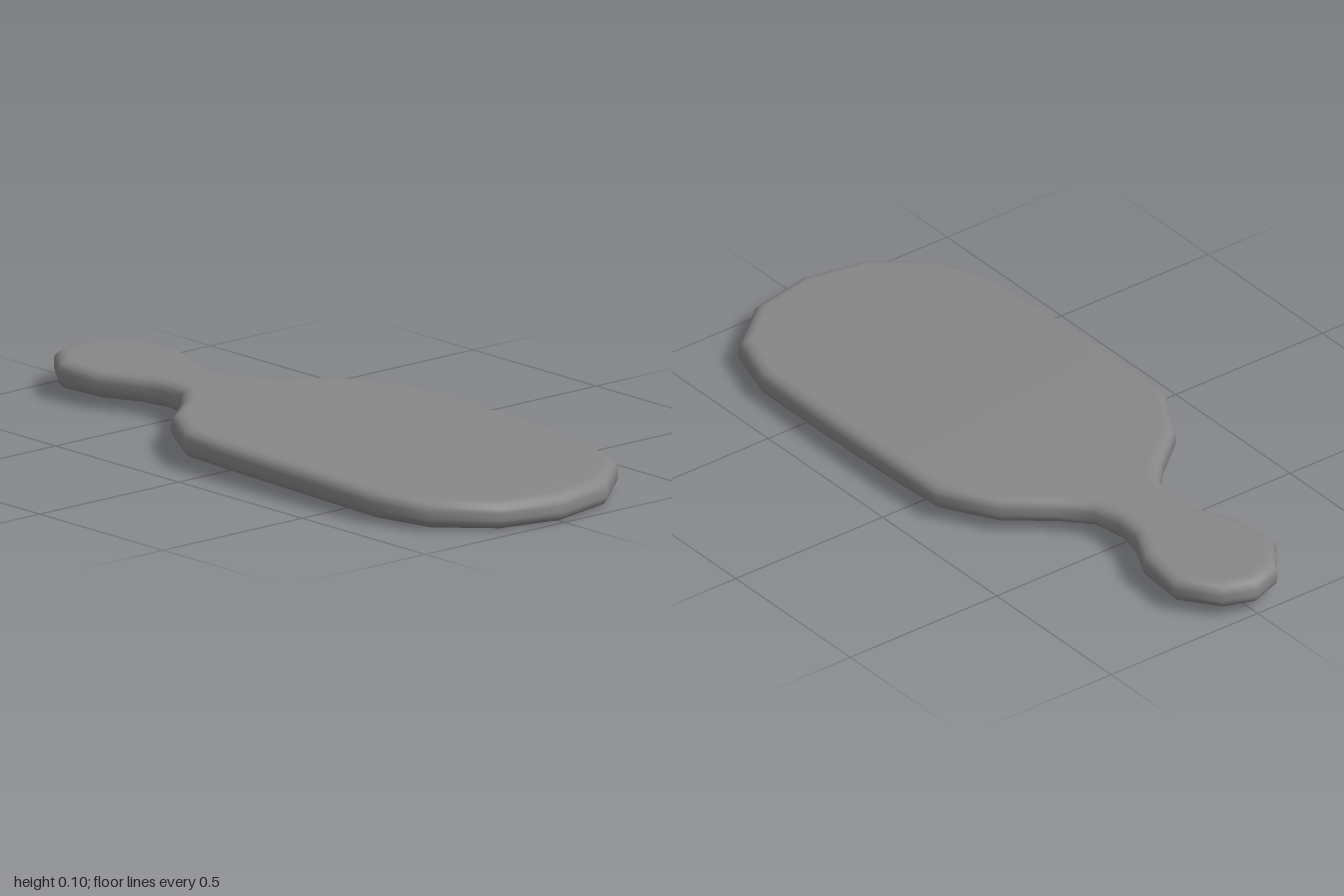
import * as THREE from 'three';

// Right half of the outline as [x, z], from the handle end to the front tip
const HALF = [
  [0, -1], [0.092, -0.968], [0.174, -0.858], [0.163, -0.71], [0.112, -0.605], [0.097, -0.52],
  [0.112, -0.43], [0.18, -0.355], [0.3, -0.258], [0.394, -0.1], [0.404, 0.06], [0.406, 0.24],
  [0.404, 0.42], [0.397, 0.665], [0.341, 0.833], [0.189, 0.96], [0, 1],
];
const THICK = 0.079, BASE = 0.027, INSET = 0.036, ROUND = 0.03, STEPS = 4;

// Height lost as the board slopes gently down to its front tip
const drop = z => 0.027 * Math.pow(Math.max(0, z), 1.4);

// Outline points paired with their outward mitre direction
function outlineWithNormals() {
  const pts = [...HALF, ...HALF.slice(1, -1).reverse().map(([x, z]) => [-x, z])]
    .map(([x, z]) => new THREE.Vector2(x, z));
  const edgeNormal = (a, b) => new THREE.Vector2(b.y - a.y, a.x - b.x).normalize();
  return pts.map((p, i) => {
    const n0 = edgeNormal(pts[(i + pts.length - 1) % pts.length], p);
    const n1 = edgeNormal(p, pts[(i + 1) % pts.length]);
    const n = n0.clone().add(n1).normalize();
    return { p, n: n.divideScalar(n.dot(n0)) };
  });
}

function boardGeometry() {
  const outline = outlineWithNormals(), N = outline.length;

  // Rounded edge profile as [inset, height], from top to bottom
  const profile = [];
  for (let s = 0; s <= STEPS; s++) {
    const t = (s / STEPS) * Math.PI / 2;
    profile.push([INSET * (1 - Math.sin(t)), THICK - ROUND * (1 - Math.cos(t))]);
  }
  profile.push(...profile.map(([d, h]) => [d, THICK - h]).reverse());

  const pos = [], index = [];
  for (const [d, h] of profile) {
    for (const { p, n } of outline) {
      const z = p.y - n.y * d;
      pos.push(p.x - n.x * d, BASE + h - drop(z), z);
    }
  }
  const tri = (a, b, c) => { if (a !== b && b !== c && a !== c) index.push(a, b, c); };

  // Rim
  for (let k = 0; k < profile.length - 1; k++) {
    for (let i = 0; i < N; i++) {
      const j = (i + 1) % N;
      const a = k * N + i, b = k * N + j, c = b + N, d = a + N;
      tri(a, b, d);
      tri(b, c, d);
    }
  }
  // Top and bottom faces, as strips running from side to side
  const last = (profile.length - 1) * N;
  for (let j = 0; j < HALF.length - 1; j++) {
    const r0 = j, r1 = j + 1, l0 = (N - j) % N, l1 = N - j - 1;
    tri(r0, l0, l1);
    tri(r0, l1, r1);
    tri(last + r0, last + l1, last + l0);
    tri(last + r0, last + r1, last + l1);
  }

  const geo = new THREE.BufferGeometry();
  geo.setAttribute('position', new THREE.Float32BufferAttribute(pos, 3));
  geo.setIndex(index);
  geo.computeVertexNormals();
  return geo;
}

export function createModel() {
  const group = new THREE.Group();
  group.name = 'paddleBoard';
  const board = new THREE.Mesh(boardGeometry(), new THREE.MeshStandardMaterial({ color: 0x878787 }));
  board.name = 'boardWithHandle';
  group.add(board);
  return group;
}
